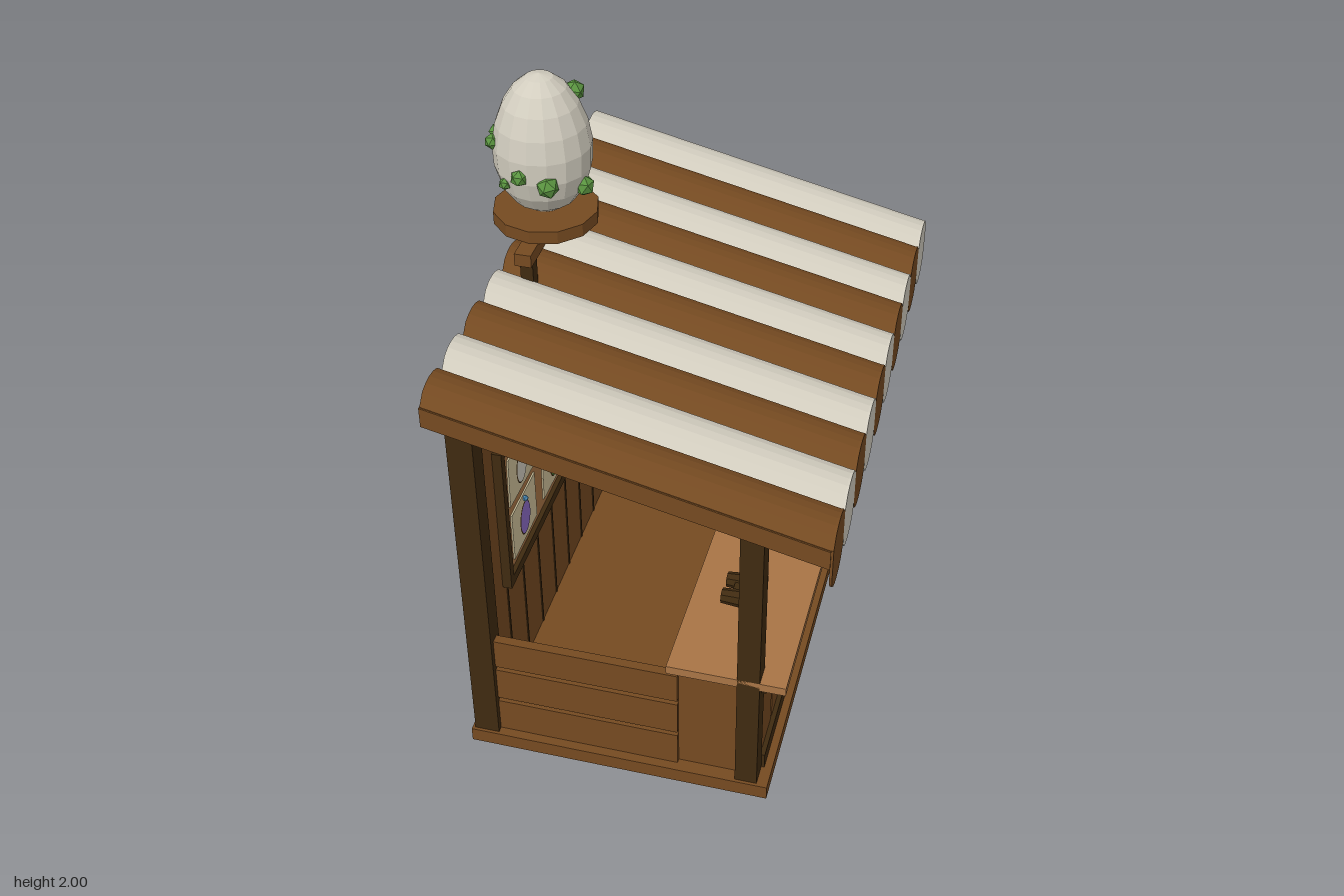
import * as THREE from 'three';

export function createModel() {
  const mat = (name, color, opt = {}) => {
    const m = new THREE.MeshStandardMaterial({ color, flatShading: true, ...opt });
    m.name = name;
    return m;
  };
  const dark = mat('dark wood', 0x3f2a10);
  const wood = mat('wood', 0x754a21);
  const light = mat('light wood', 0xa87445);
  const white = mat('off white', 0xd2cdbf);
  const green = mat('green', 0x5a9440);
  const blue = mat('blue', 0x559bcc);
  const purple = mat('purple', 0x8b6cc6);
  const gold = mat('gold', 0xc4992a);
  const red = mat('red', 0xb52d2d);
  const paper = mat('parchment', 0xcfc29b);

  const model = new THREE.Group();
  model.name = 'marketStall';
  const add = (name, geo, m, x = 0, y = 0, z = 0, parent = model) => {
    const mesh = new THREE.Mesh(geo, m);
    mesh.name = name;
    mesh.position.set(x, y, z);
    parent.add(mesh);
    return mesh;
  };
  // box given by its limits on each axis
  const box = (name, m, x0, x1, y0, y1, z0, z1) =>
    add(name, new THREE.BoxGeometry(x1 - x0, y1 - y0, z1 - z0), m, (x0 + x1) / 2, (y0 + y1) / 2, (z0 + z1) / 2);
  // round bar between two points
  const bar = (name, m, a, b, r0, r1 = r0, seg = 8) => {
    const p = new THREE.Vector3(...a), q = new THREE.Vector3(...b);
    const mesh = add(name, new THREE.CylinderGeometry(r1, r0, p.distanceTo(q), seg), m);
    mesh.position.copy(p).lerp(q, 0.5);
    mesh.quaternion.setFromUnitVectors(new THREE.Vector3(0, 1, 0), q.sub(p).normalize());
    return mesh;
  };
  const eggRadius = t => Math.sin(Math.PI * t) * (1.08 - 0.32 * (t - 0.35)) * 0.95;
  const eggGeo = (r, h, seg, rings) => {
    const pts = [];
    for (let i = 0; i <= rings; i++) {
      const t = (1 - Math.cos(Math.PI * i / rings)) / 2;
      const w = Math.sqrt(Math.max(0, t * (1 - t))) * 2 * (1 + 0.22 * (0.5 - t));
      pts.push(new THREE.Vector2(i % rings ? r * w : 0, h * t));
    }
    return new THREE.LatheGeometry(pts, seg);
  };

  // floor and posts
  box('floor', wood, -0.52, 0.455, 0, 0.05, -0.82, 0.82);
  for (const s of [-1, 1]) {
    const z0 = s > 0 ? 0.74 : -0.81, z1 = z0 + 0.07;
    box('backPost', dark, -0.51, -0.43, 0.05, 1.34, z0, z1);
    box('frontPost', s > 0 ? dark : wood, 0.35, 0.42, 0.05, 1.15, z0, z1);
    // side planks with gaps
    for (const [y0, y1] of [[0.05, 0.175], [0.19, 0.315], [0.33, 0.44]])
      box('sidePlank', wood, -0.43, 0.16, y0, y1, s * 0.775 - 0.015, s * 0.775 + 0.015);
  }
  box('frontBeam', wood, 0.36, 0.41, 1.05, 1.11, -0.74, 0.74);
  box('backBeam', wood, -0.43, -0.39, 1.22, 1.28, -0.74, 0.74);

  // back wall of planks with dark seams
  box('backWall', wood, -0.49, -0.45, 0.05, 1.34, -0.74, 0.74);
  for (let i = 1; i < 10; i++) {
    const z = -0.74 + i * 0.148;
    box('wallSeam', dark, -0.493, -0.447, 0.05, 1.33, z - 0.004, z + 0.004);
  }

  // notice board
  box('board', light, -0.45, -0.435, 0.53, 1.05, -0.61, 0.61);
  box('boardFrameBottom', dark, -0.45, -0.42, 0.515, 0.55, -0.625, 0.625);
  box('boardFrameTop', dark, -0.45, -0.42, 1.03, 1.06, -0.625, 0.625);
  for (const s of [-1, 1])
    box('boardFrameSide', dark, -0.45, -0.42, 0.52, 1.06, s * 0.613 - 0.014, s * 0.613 + 0.014);

  // posters: sheet, painted egg and pin
  const eggs = [[white, blue, purple, gold], [purple, green, blue, red]];
  const pins = [[green, red, blue, purple], [blue, gold, red, green]];
  const spot = new THREE.Shape();
  spot.absellipse(0, 0, 0.044, 0.06, 0, Math.PI * 2);
  eggs.forEach((row, j) => row.forEach((m, i) => {
    const z = 0.445 - i * 0.296, y = 0.88 - j * 0.215, tilt = ((i * 2 + j) % 3 - 1) * 0.04;
    const sheet = box('poster', paper, -0.435, -0.43, y - 0.09, y + 0.09, z - 0.11, z + 0.11);
    sheet.rotation.x = tilt;
    for (const [edge, c, x] of [[1.1, dark, -0.4285], [1, m, -0.427]]) {
      const e = add('posterEgg', new THREE.ShapeGeometry(spot, 12), c, x, y - 0.005, z);
      e.rotation.y = Math.PI / 2;
      e.scale.setScalar(edge === 1 ? 1 : 1.06);
    }
    add('pin', new THREE.IcosahedronGeometry(0.011), pins[j][i], -0.424, y + 0.075, z);
  }));

  // counter
  box('counterBody', wood, 0.16, 0.4, 0.05, 0.47, -0.775, 0.775);
  box('counterFrontBacking', dark, 0.4, 0.405, 0.05, 0.47, -0.745, 0.745);
  for (let i = 0; i < 9; i++) {
    const z = 0.664 - i * 0.166;
    box('counterPlank', i === 6 ? light : wood, 0.405, 0.415, 0.1, 0.44, z - 0.076, z + 0.076);
  }
  box('counterBottomRail', dark, 0.4, 0.43, 0.05, 0.105, -0.78, 0.74);
  box('counterTopRail', dark, 0.4, 0.435, 0.43, 0.47, -0.78, 0.78);
  box('counterTop', light, 0.13, 0.5, 0.468, 0.498, -0.81, 0.81);

  // sloped awning: arched stripes, side boards and rounded front flaps
  const slope = -0.23, pitch = 0.172, rise = 0.055, arcN = 6;
  const shear = geo => geo.applyMatrix4(new THREE.Matrix4().set(1, 0, 0, 0, slope, 1, 0, 1.257, 0, 0, 1, 0, 0, 0, 0, 1));
  const arch = Array.from({ length: arcN + 1 }, (_, i) => {
    const u = i / arcN * 2 - 1;
    return new THREE.Vector2(u * pitch / 2, rise * Math.sqrt(Math.max(0, 1 - u * u * 0.97)));
  });
  const stripeShape = new THREE.Shape([new THREE.Vector2(pitch / 2, -0.012), ...arch.slice().reverse(), new THREE.Vector2(-pitch / 2, -0.012)]);
  const flapPts = arch.slice().reverse();
  for (let i = 0; i <= 10; i++) {
    const a = Math.PI + Math.PI * i / 10;
    flapPts.push(new THREE.Vector2(Math.cos(a) * pitch / 2, -0.09 - 0.075 * Math.pow(Math.abs(Math.sin(a)), 0.8)));
  }
  const flapShape = new THREE.Shape(flapPts);
  for (let i = 0; i < 10; i++) {
    const z = 0.774 - i * pitch, m = i % 2 ? white : wood;
    const geo = new THREE.ExtrudeGeometry(stripeShape, { depth: 1.17, bevelEnabled: false });
    geo.rotateY(Math.PI / 2).translate(-0.553, 0, 0);
    add('awningStripe', shear(geo), m, 0, 0, z);
    const flap = add('awningFlap', new THREE.ExtrudeGeometry(flapShape, { depth: 0.008, bevelEnabled: false }), m, 0.614, 1.116, z);
    flap.rotation.y = Math.PI / 2;
  }
  for (const s of [-1, 1])
    add('awningSideBoard', shear(new THREE.BoxGeometry(1.17, 0.065, 0.025).translate(0.03, -0.025, s * 0.852)), wood);

  // roof sign: stand, disc and mossy egg
  for (const s of [-1, 1]) box('signPost', dark, -0.48, -0.44, 1.36, 1.47, s * 0.185 - 0.02, s * 0.185 + 0.02);
  box('signCrossbar', wood, -0.488, -0.435, 1.468, 1.51, -0.23, 0.23);
  add('signDisc', new THREE.CylinderGeometry(0.165, 0.165, 0.042, 12), wood, -0.46, 1.53, 0);
  const R = 0.152, H = 0.455, Y = 1.545;
  add('signEgg', eggGeo(R, H, 16, 10), white, -0.46, Y, 0);
  const moss = [[100, 1.725, 0.027], [67, 1.7, 0.035], [12, 1.655, 0.034], [-16, 1.63, 0.02], [-38, 1.92, 0.034],
    [-60, 1.89, 0.018], [153, 1.79, 0.025], [187, 1.775, 0.026], [207, 1.77, 0.022], [235, 1.75, 0.022], [125, 1.68, 0.02]];
  for (const [deg, y, r] of moss) {
    const t = (y - Y) / H, a = deg * Math.PI / 180;
    const d = R * 2 * Math.sqrt(t * (1 - t)) * (1 + 0.22 * (0.5 - t));
    add('moss', new THREE.IcosahedronGeometry(r), green, -0.46 + Math.cos(a) * d, y, Math.sin(a) * d).rotation.set(deg, y, 0);
  }

  // binoculars
  for (const z of [0.505, 0.43]) bar('binocularTube', dark, [0.23, 0.532, z], [0.355, 0.532, z], 0.024, 0.034);
  box('binocularBridge', dark, 0.26, 0.3, 0.52, 0.545, 0.43, 0.505);

  // rolled scroll and a flat sheet with pebbles
  bar('scroll', white, [0.3, 0.524, 0], [0.3, 0.524, 0.285], 0.025);
  box('sheet', paper, 0.22, 0.4, 0.498, 0.503, -0.14, 0.08);
  for (const [m, x, z] of [[purple, 0.36, -0.02], [green, 0.37, -0.09], [blue, 0.25, -0.08]])
    add('pebble', new THREE.IcosahedronGeometry(0.011), m, x, 0.508, z);

  // cushion with egg
  box('cushionBase', red, 0.21, 0.37, 0.498, 0.52, -0.33, -0.17);
  box('cushion', red, 0.225, 0.355, 0.52, 0.545, -0.315, -0.185);
  box('cushionBand', gold, 0.207, 0.373, 0.497, 0.522, -0.256, -0.244);
  for (const x of [0.21, 0.37]) for (const z of [-0.33, -0.17])
    add('tassel', new THREE.IcosahedronGeometry(0.012), gold, x, 0.51, z);
  add('displayEgg', eggGeo(0.039, 0.115, 10, 8), blue, 0.29, 0.543, -0.25);

  // magnifying glass
  add('lensRim', new THREE.TorusGeometry(0.042, 0.008, 6, 14).rotateX(Math.PI / 2), gold, 0.3, 0.506, -0.53);
  add('lens', new THREE.CylinderGeometry(0.038, 0.038, 0.006, 14), blue, 0.3, 0.505, -0.53);
  bar('lensHandle', dark, [0.26, 0.506, -0.53], [0.19, 0.506, -0.5], 0.009);

  // telescope on a tripod
  const head = [0.345, 0.69, -0.69];
  for (const [x, z] of [[0.4, -0.69], [0.32, -0.645], [0.32, -0.735]]) bar('tripodLeg', dark, [x, 0.498, z], head, 0.009);
  bar('telescopeTube', gold, [0.24, 0.68, -0.69], [0.38, 0.725, -0.69], 0.025);
  bar('telescopeBarrel', gold, [0.36, 0.718, -0.69], [0.455, 0.745, -0.69], 0.034);
  bar('telescopeLens', dark, [0.235, 0.678, -0.69], [0.25, 0.683, -0.69], 0.028);
  return model;
}
